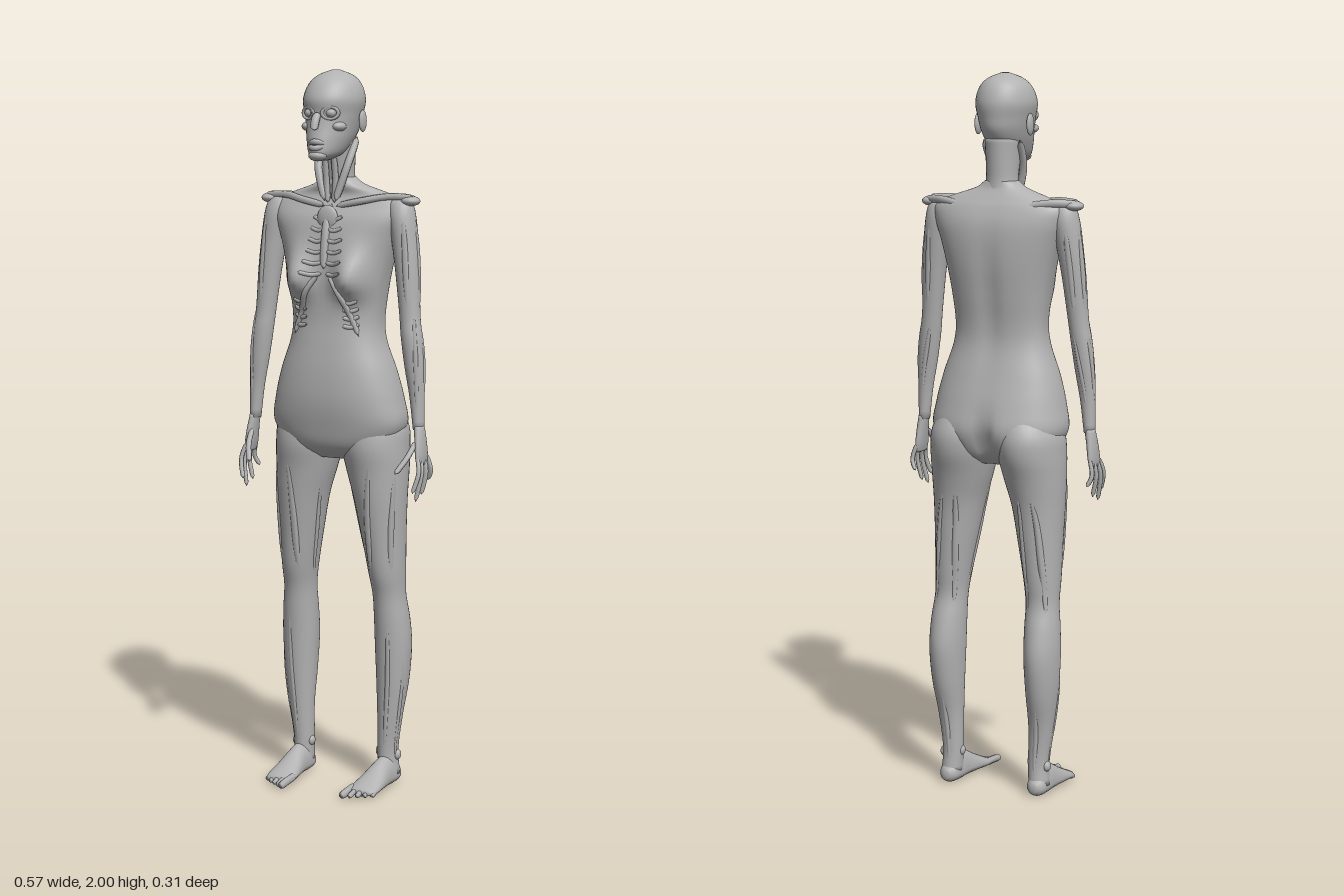
import * as THREE from 'three';

const skin = new THREE.MeshStandardMaterial({ color: 0xb2b2b2 });
skin.name = 'grey';
const V = (p, s = 1) => new THREE.Vector3(p[0] * s, p[1], p[2]);

// Sections are [x, y, z, halfWidth, frontDepth, backDepth], listed with y rising.
function surface(sections, s = 1, pow = 1) {
  const mid = new THREE.CatmullRomCurve3(sections.map((q) => V(q, s)), false, 'catmullrom', 0.5);
  const rad = new THREE.CatmullRomCurve3(sections.map((q) => V(q.slice(3))), false, 'catmullrom', 0.5);
  const bend = (v) => Math.sign(v) * Math.abs(v) ** pow;
  return (t, a, lift = 0) => {
    const c = mid.getPoint(t), r = rad.getPoint(t), sn = bend(Math.sin(a)), cs = bend(Math.cos(a));
    return new THREE.Vector3(c.x + s * sn * (r.x + lift), c.y, c.z + cs * ((cs > 0 ? r.y : r.z) + lift));
  };
}

function loft(sections, { s = 1, pow = 1, rows = 4, cols = 32, shape } = {}) {
  const at = surface(sections, s, pow), n = (sections.length - 1) * rows, pos = [], idx = [];
  for (let i = 0; i <= n; i++) {
    for (let j = 0; j < cols; j++) {
      const p = at(i / n, (s * j * Math.PI * 2) / cols);
      if (shape) shape(p);
      pos.push(p.x, p.y, p.z);
      const k = (j + 1) % cols, a = i * cols + j, b = i * cols + k;
      if (i < n) idx.push(a, b, b + cols, a, b + cols, a + cols);
    }
  }
  // end caps
  for (const [q, row] of [[sections[0], 0], [sections[sections.length - 1], n]]) {
    const c = pos.length / 3;
    pos.push(q[0] * s, q[1], q[2]);
    for (let j = 0; j < cols; j++) {
      const a = row * cols + j, b = row * cols + ((j + 1) % cols);
      idx.push(...(row ? [a, b, c] : [b, a, c]));
    }
  }
  const g = new THREE.BufferGeometry();
  g.setAttribute('position', new THREE.Float32BufferAttribute(pos, 3));
  g.setIndex(idx);
  g.computeVertexNormals();
  return g;
}

// Tube with rounded, closed ends
function strand(points, r, power = 8) {
  const path = new THREE.CatmullRomCurve3(points), n = 12, m = 7;
  const g = new THREE.TubeGeometry(path, n, r, m, false), p = g.attributes.position, v = new THREE.Vector3();
  for (let i = 0; i <= n; i++) {
    const c = path.getPointAt(i / n), k = Math.sqrt(Math.max(0, 1 - Math.abs((2 * i) / n - 1) ** power));
    for (let j = 0; j <= m; j++) {
      const q = i * (m + 1) + j;
      v.fromBufferAttribute(p, q).sub(c).multiplyScalar(k).add(c);
      p.setXYZ(q, v.x, v.y, v.z);
    }
  }
  return g;
}

const ball = (x, y, z, rx, ry, rz) => new THREE.SphereGeometry(1, 18, 12).scale(rx, ry, rz).translate(x, y, z);

const TORSO = [
  [0, 0.935, -0.02, 0.07, 0.045, 0.07], [0, 0.97, -0.02, 0.15, 0.085, 0.112],
  [0, 1.03, -0.02, 0.195, 0.102, 0.135], [0, 1.1, -0.02, 0.188, 0.112, 0.122],
  [0, 1.18, -0.02, 0.168, 0.11, 0.1], [0, 1.26, -0.02, 0.14, 0.1, 0.08],
  [0, 1.32, -0.02, 0.133, 0.092, 0.078], [0, 1.4, -0.02, 0.142, 0.09, 0.087],
  [0, 1.48, -0.02, 0.158, 0.09, 0.095], [0, 1.55, -0.02, 0.178, 0.083, 0.096],
  [0, 1.6, -0.02, 0.195, 0.07, 0.09], [0, 1.64, -0.025, 0.195, 0.052, 0.07],
  [0, 1.665, -0.025, 0.15, 0.042, 0.055], [0, 1.69, -0.02, 0.075, 0.045, 0.045],
  [0, 1.71, -0.018, 0.045, 0.042, 0.042]];
const LEG = [
  [0.138, 0.03, -0.06, 0.03, 0.035, 0.034], [0.135, 0.1, -0.06, 0.029, 0.035, 0.028],
  [0.142, 0.2, -0.057, 0.036, 0.037, 0.037], [0.147, 0.3, -0.06, 0.045, 0.045, 0.058],
  [0.148, 0.4, -0.06, 0.05, 0.05, 0.07], [0.146, 0.48, -0.058, 0.049, 0.054, 0.06],
  [0.142, 0.55, -0.052, 0.046, 0.055, 0.048], [0.138, 0.62, -0.045, 0.051, 0.065, 0.058],
  [0.13, 0.72, -0.04, 0.061, 0.073, 0.068], [0.122, 0.82, -0.035, 0.073, 0.08, 0.08],
  [0.112, 0.9, -0.035, 0.086, 0.088, 0.097], [0.104, 0.97, -0.035, 0.093, 0.098, 0.118],
  [0.1, 1.03, -0.035, 0.09, 0.09, 0.117], [0.09, 1.1, -0.035, 0.06, 0.07, 0.08]];
const ARM = [
  [0.257, 1.03, 0.003, 0.015, 0.02, 0.018], [0.251, 1.12, 0.003, 0.021, 0.02, 0.02],
  [0.243, 1.2, 0.002, 0.028, 0.026, 0.025], [0.233, 1.28, 0, 0.03, 0.029, 0.028],
  [0.225, 1.34, -0.004, 0.029, 0.028, 0.028], [0.215, 1.45, -0.01, 0.033, 0.034, 0.033],
  [0.205, 1.53, -0.015, 0.036, 0.038, 0.037], [0.195, 1.6, -0.018, 0.037, 0.04, 0.04],
  [0.188, 1.64, -0.02, 0.034, 0.03, 0.03], [0.185, 1.655, -0.02, 0.015, 0.015, 0.015]];
const HAND = [
  [0.27, 0.935, 0.01, 0.007, 0.03, 0.03], [0.268, 0.96, 0.008, 0.011, 0.033, 0.033],
  [0.264, 1.0, 0.005, 0.013, 0.028, 0.026], [0.258, 1.04, 0.003, 0.014, 0.02, 0.018]];
// Foot runs along its second value; it is tipped forward afterwards.
const FOOT = [
  [0.138, -0.1, -0.025, 0.01, 0.012, 0.012], [0.138, -0.085, -0.025, 0.026, 0.023, 0.03],
  [0.137, -0.05, -0.025, 0.031, 0.025, 0.06], [0.136, -0.01, -0.025, 0.033, 0.024, 0.055],
  [0.134, 0.04, -0.022, 0.04, 0.021, 0.032], [0.132, 0.085, -0.016, 0.043, 0.015, 0.017],
  [0.13, 0.11, -0.014, 0.034, 0.009, 0.009]];
const HEAD = [
  [0, 1.757, 0.085, 0.016, 0.025, 0.03], [0, 1.775, 0.055, 0.04, 0.07, 0.06],
  [0, 1.81, 0.035, 0.056, 0.085, 0.09], [0, 1.845, 0.02, 0.066, 0.092, 0.1],
  [0, 1.88, 0.015, 0.074, 0.092, 0.102], [0, 1.92, 0.01, 0.081, 0.1, 0.1],
  [0, 1.96, 0.006, 0.07, 0.083, 0.083], [0, 1.985, 0.003, 0.046, 0.056, 0.056],
  [0, 2, 0.002, 0.01, 0.012, 0.012]];
const NECK = [
  [0, 1.64, -0.025, 0.06, 0.045, 0.05], [0, 1.7, -0.017, 0.045, 0.042, 0.046],
  [0, 1.76, -0.01, 0.046, 0.045, 0.054], [0, 1.83, 0, 0.052, 0.05, 0.068]];

const hill = (x, w) => Math.exp(-((x / w) ** 2));
// Breasts, seat cleft and spine groove
function shapeTorso(p) {
  const x = Math.abs(p.x);
  if (p.z > 0) p.z += 0.05 * hill(x - 0.082, 0.045) * hill(p.y - 1.43, p.y > 1.43 ? 0.075 : 0.045);
  else p.z += 0.03 * hill(x, 0.025) * hill(p.y - 1.0, 0.07) + 0.01 * hill(x, 0.03) * hill(p.y - 1.4, 0.18);
}

export function createModel() {
  const model = new THREE.Group();
  const add = (name, g) => {
    const mesh = new THREE.Mesh(g, skin);
    mesh.name = name;
    model.add(mesh);
  };
  add('torso', loft(TORSO, { pow: 0.85, cols: 64, rows: 5, shape: shapeTorso }));
  add('neck', loft(NECK));
  add('head', loft(HEAD, { rows: 5, cols: 40 }));

  // Places a point on the front of the chest
  const chest = (x, y, lift = 0) => {
    let i = 1;
    while (TORSO[i][1] < y && i < TORSO.length - 1) i++;
    const a = TORSO[i - 1], b = TORSO[i], k = (y - a[1]) / (b[1] - a[1]);
    const w = a[3] + (b[3] - a[3]) * k, d = a[4] + (b[4] - a[4]) * k;
    const sn = Math.min(1, Math.abs(x) / w) ** (1 / 0.85);
    const p = new THREE.Vector3(x, y, a[2] + (b[2] - a[2]) * k + d * Math.sqrt(1 - sn * sn) ** 0.85);
    shapeTorso(p);
    p.z += lift;
    return p;
  };
  add('sternum', strand([1.64, 1.58, 1.52, 1.46].map((y) => chest(0, y)), 0.012));
  add('breastbone top', ball(0, 1.6, chest(0, 1.6).z, 0.032, 0.035, 0.011));

  // Face
  add('nose', strand([V([0, 1.885, 0.105]), V([0, 1.86, 0.12]), V([0, 1.838, 0.127])], 0.012, 4));
  add('upper lip', strand([V([-0.026, 1.802, 0.106]), V([0, 1.808, 0.126]), V([0.026, 1.802, 0.106])], 0.008, 2));
  add('lower lip', strand([V([-0.024, 1.796, 0.106]), V([0, 1.79, 0.128]), V([0.024, 1.796, 0.106])], 0.008, 2));
  add('chin', ball(0, 1.77, 0.105, 0.026, 0.015, 0.026));

  for (const s of [1, -1]) {
    const side = s > 0 ? 'left ' : 'right ';
    add(side + 'eye', ball(s * 0.032, 1.884, 0.09, 0.015, 0.013, 0.015));
    add(side + 'eye socket', new THREE.TorusGeometry(0.02, 0.005, 8, 20).scale(1.1, 0.8, 1).rotateY(s * 0.4).translate(s * 0.033, 1.884, 0.096));
    add(side + 'cheek', ball(s * 0.045, 1.848, 0.07, 0.02, 0.014, 0.025));
    add(side + 'ear', ball(s * 0.079, 1.862, -0.005, 0.008, 0.03, 0.018));

    // Bones and muscles of neck, shoulder and ribs
    add(side + 'neck muscle', strand([V([0.055, 1.82, -0.02], s), V([0.045, 1.74, 0.02], s), V([0.016, 1.645, 0.036], s)], 0.011));
    add(side + 'throat muscle', strand([V([0.014, 1.77, 0.04], s), V([0.014, 1.7, 0.03], s), V([0.01, 1.64, 0.03], s)], 0.009));
    add(side + 'collarbone', strand([V([0.015, 1.632, 0.033], s), V([0.09, 1.647, 0.027], s), V([0.16, 1.659, 0], s), V([0.235, 1.657, -0.015], s)], 0.01));
    add(side + 'shoulder blade ridge', strand([V([0.1, 1.645, -0.075], s), V([0.17, 1.655, -0.055], s), V([0.235, 1.652, -0.02], s)], 0.011));
    add(side + 'shoulder tip', ball(s * 0.217, 1.648, -0.02, 0.027, 0.014, 0.028));
    for (let i = 0; i < 6; i++) {
      const y = 1.6 - i * 0.03, out = 0.045 + 0.004 * i;
      add(side + 'rib', strand([0.006, out / 2, out].map((x, k) => chest(s * x, y - [0, 0.004, -0.004][k])), 0.006));
    }
    for (let i = 0; i < 4; i++) {
      add(side + 'lower rib', strand([0, 1, 2].map((k) => chest(s * (0.055 + 0.022 * k), 1.375 - 0.022 * i - 0.01 * k + 0.006 * k * k)), 0.006));
    }
    add(side + 'rib arch', strand([[0.015, 1.45], [0.05, 1.4], [0.075, 1.34], [0.1, 1.28]].map(([x, y]) => chest(s * x, y)), 0.008));

    // Limbs
    add(side + 'leg', loft(LEG, { s, cols: 36 }));
    add(side + 'arm', loft(ARM, { s, cols: 24 }));
    add(side + 'palm', loft(HAND, { s, cols: 20 }));
    add(side + 'foot', loft(FOOT, { s, cols: 28 }).rotateX(Math.PI / 2));

    // Muscle strands lying on the limbs: [start, end, angle at start, angle at end, radius]
    const overlay = (name, sections, list) => {
      const at = surface(sections, s);
      for (const [t0, t1, a0, a1, r] of list) {
        const pts = [0, 1, 2, 3, 4].map((k) => at(t0 + ((t1 - t0) * k) / 4, a0 + ((a1 - a0) * k) / 4, -r * 0.55));
        add(side + name, strand(pts, r, 2));
      }
    };
    overlay('thigh muscle', LEG, [[0.48, 0.82, -0.6, 0.3, 0.012], [0.5, 0.8, 0.7, 1.1, 0.012], [0.47, 0.76, -1.5, -1.1, 0.01],
      [0.42, 0.74, 2.4, 2.9, 0.012], [0.42, 0.74, 3.9, 3.4, 0.012]]);
    overlay('shin muscle', LEG, [[0.06, 0.42, 0.1, 0.2, 0.008], [0.04, 0.3, 1.3, 1.1, 0.008], [0.02, 0.22, 3.14, 3.14, 0.009]]);
    overlay('arm muscle', ARM, [[0.05, 0.46, 0.3, 0.9, 0.008], [0.08, 0.42, 1.6, 2.1, 0.008], [0.08, 0.42, 3, 3.6, 0.008],
      [0.45, 0.85, 0.2, 0.6, 0.01], [0.45, 0.85, 1.9, 1.6, 0.01], [0.45, 0.8, 3.1, 2.8, 0.01]]);
    add(side + 'kneecap', ball(s * 0.142, 0.565, -0.008, 0.024, 0.032, 0.012));
    add(side + 'outer ankle', ball(s * 0.162, 0.085, -0.062, 0.011, 0.015, 0.014));
    add(side + 'inner ankle', ball(s * 0.11, 0.092, -0.055, 0.01, 0.015, 0.014));

    // Fingers, thumb and toes
    for (let i = 0; i < 4; i++) {
      const z = 0.034 - i * 0.018, tip = [0.86, 0.835, 0.85, 0.885][i], f = [0.06, 0.04, 0.005, -0.035][i];
      add(side + 'finger', strand([V([0.269, 0.96, z], s), V([0.279, 0.915, (z + f) / 2], s), V([0.266, tip, f], s)], 0.0065));
    }
    add(side + 'thumb', strand([V([0.258, 1.0, 0.02], s), V([0.25, 0.96, 0.055], s), V([0.228, 0.915, 0.09], s)], 0.008));
    for (let i = 0; i < 5; i++) {
      const x = 0.097 + i * 0.0175, r = i ? 0.0075 : 0.011;
      add(side + 'toe', strand([V([x, 0.019, 0.07 - i * 0.007], s), V([x, 0.017, 0.11 - i * 0.009], s), V([x, r, 0.155 - i * 0.012], s)], r));
    }
  }
  return model;
}
